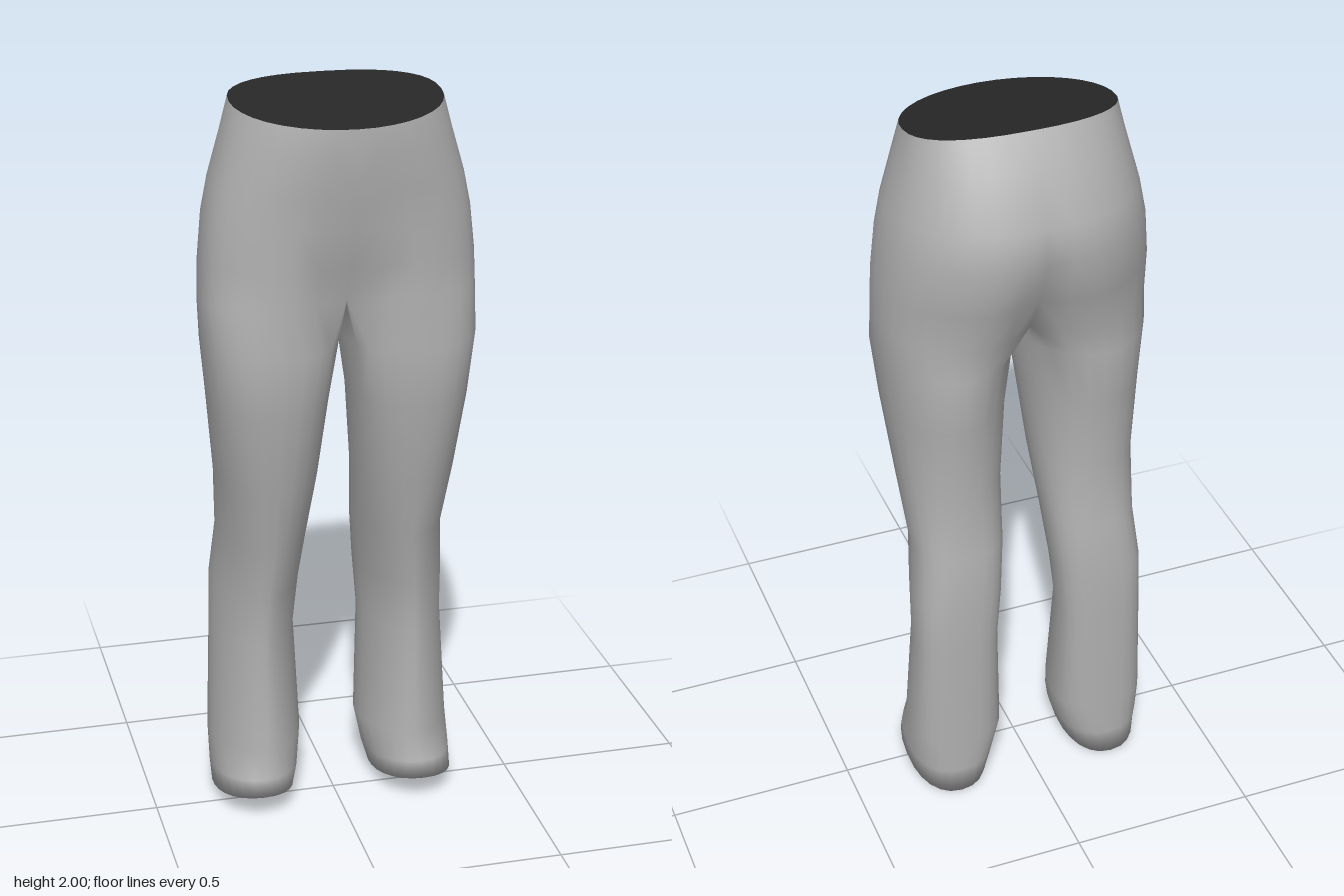
import * as THREE from 'three';
import { mergeVertices } from 'three/addons/utils/BufferGeometryUtils.js';

const OUTER = 18; // segments round the outside of each half
const INNER = 6;  // segments on the inside of each leg

// Leg sections, bottom to top: y, inner x, outer x, front z, back z,
// z of the widest line, front roundness, back roundness, slope of y along z
const LEG = [
  [0.050, 0.225, 0.230, -0.025, -0.030, -0.027, 1, 1, 0.2],
  [0.065, 0.165, 0.285, 0.050, -0.110, -0.03, 1, 1, 0.2],
  [0.041, 0.118, 0.332, 0.137, -0.190, -0.03, 0.9, 0.88, 0.215],
  [0.100, 0.100, 0.335, 0.124, -0.190, -0.05, 0.95, 0.85, 0.13],
  [0.190, 0.083, 0.335, 0.106, -0.190, -0.08, 1.1, 0.8, 0.03],
  [0.500, 0.094, 0.322, 0.087, -0.190, -0.1, 1.2, 0.75, 0],
  [0.650, 0.080, 0.320, 0.107, -0.190, -0.09, 1.2, 0.75, 0],
  [0.800, 0.065, 0.307, 0.130, -0.175, -0.06, 1.1, 0.8, 0],
  [0.980, 0.050, 0.320, 0.170, -0.148, 0, 0.95, 0.9, 0],
  [1.200, 0.030, 0.342, 0.208, -0.175, 0.035, 0.85, 1, 0],
  [1.360, 0.006, 0.357, 0.220, -0.185, 0.045, 0.8, 1, 0],
];

// Hip sections, crotch to waist: y, outer x, front z, back z, slope,
// front pinch, back pinch, front roundness, back roundness
const HIPS = [
  [1.460, 0.360, 0.223, -0.198, 0.15, 0.4, 0.35, 0.78, 0.95],
  [1.570, 0.355, 0.224, -0.238, 0.05, 0.15, 0.2, 0.78, 0.92],
  [1.690, 0.343, 0.226, -0.257, 0, 0.03, 0.06, 0.82, 0.92],
  [1.780, 0.325, 0.235, -0.238, -0.02, 0, 0.02, 0.86, 0.9],
  [1.900, 0.292, 0.250, -0.178, -0.08, 0, 0, 0.94, 0.85],
  [1.982, 0.272, 0.248, -0.128, -0.147, 0, 0, 1, 0.8],
];

const power = (v, p) => Math.sign(v) * Math.abs(v) ** p;

function legRing([y, xi, xo, zf, zb, zc, pf, pb, slope]) {
  const ring = [];
  for (let j = 0; j < OUTER + INNER; j++) {
    // start at the inner front corner, go round the outside, return on the inside
    const a = j <= OUTER
      ? Math.PI * (0.75 - 1.5 * j / OUTER)
      : Math.PI * (-0.75 - 0.5 * (j - OUTER) / INNER);
    const isFront = Math.sin(a) > 0;
    const p = isFront ? pf : pb;
    const x = (xi + xo) / 2 + (xo - xi) / 2 * power(Math.cos(a), p);
    const z = zc + (isFront ? zf - zc : zc - zb) * power(Math.sin(a), p);
    ring.push([x, y + slope * z, z]);
  }
  return ring;
}

function hipRing([y, xo, zf, zb, slope, pinchFront, pinchBack, pf, pb]) {
  const ring = [];
  const zc = 0.03; // widest line of the hips
  for (let j = 0; j <= OUTER; j++) {
    const a = Math.PI * (0.5 - j / OUTER);
    const c = j === 0 || j === OUTER ? 0 : Math.cos(a);
    const isFront = Math.sin(a) > 0;
    const p = isFront ? pf : pb;
    const x = xo * power(c, p);
    const pinch = (isFront ? pinchFront : pinchBack) * Math.max(0, 1 - x / 0.2) ** 2;
    const z = zc + (isFront ? zf - zc : zc - zb) * power(Math.sin(a), p) * (1 - pinch);
    ring.push([x, y + slope * z, z]);
  }
  return ring;
}

function buildCloth() {
  const hips = HIPS.map(hipRing);
  // Crotch ring: the hip outline closed by a seam on the centre plane
  const crotch = hips[0].slice();
  const front = hips[0][0], back = hips[0][OUTER];
  for (let k = 1; k < INNER; k++) {
    const t = k / INNER;
    const y = back[1] + (front[1] - back[1]) * t + 0.02 * Math.sin(Math.PI * t);
    crotch.push([0, y, back[2] + (front[2] - back[2]) * t]);
  }
  const legs = [...LEG.map(legRing), crotch];

  const pos = [];
  for (const side of [1, -1]) {
    const tri = (a, b, c) => {
      for (const p of side > 0 ? [a, b, c] : [a, c, b]) pos.push(side * p[0], p[1], p[2]);
    };
    const loft = (rings, count) => {
      for (let i = 0; i + 1 < rings.length; i++) {
        for (let j = 0; j < count; j++) {
          const n = (j + 1) % rings[i].length;
          tri(rings[i][j], rings[i][n], rings[i + 1][n]);
          tri(rings[i][j], rings[i + 1][n], rings[i + 1][j]);
        }
      }
    };
    loft(legs, OUTER + INNER);
    loft(hips, OUTER);
  }
  const geometry = new THREE.BufferGeometry();
  geometry.setAttribute('position', new THREE.Float32BufferAttribute(pos, 3));
  const merged = mergeVertices(geometry, 1e-4);
  merged.computeVertexNormals();
  return merged;
}

// Dark waist opening, a fan across the top ring
function buildOpening() {
  const rim = hipRing(HIPS[HIPS.length - 1]);
  const loop = [...rim, ...rim.slice(1, -1).reverse().map(([x, y, z]) => [-x, y, z])];
  const centre = [0, 1.973, 0.06];
  const pos = [];
  loop.forEach((p, i) => pos.push(...centre, ...p, ...loop[(i + 1) % loop.length]));
  const geometry = new THREE.BufferGeometry();
  geometry.setAttribute('position', new THREE.Float32BufferAttribute(pos, 3));
  geometry.computeVertexNormals();
  return geometry;
}

export function createModel() {
  const grey = new THREE.MeshStandardMaterial({ color: 0xb0b0b0, side: THREE.DoubleSide });
  grey.name = 'grey cloth';
  const dark = new THREE.MeshStandardMaterial({ color: 0x272727 });
  dark.name = 'dark lining';

  const group = new THREE.Group();
  group.name = 'trousers';
  const cloth = new THREE.Mesh(buildCloth(), grey);
  cloth.name = 'trouserCloth';
  const opening = new THREE.Mesh(buildOpening(), dark);
  opening.name = 'waistOpening';
  group.add(cloth, opening);
  return group;
}
